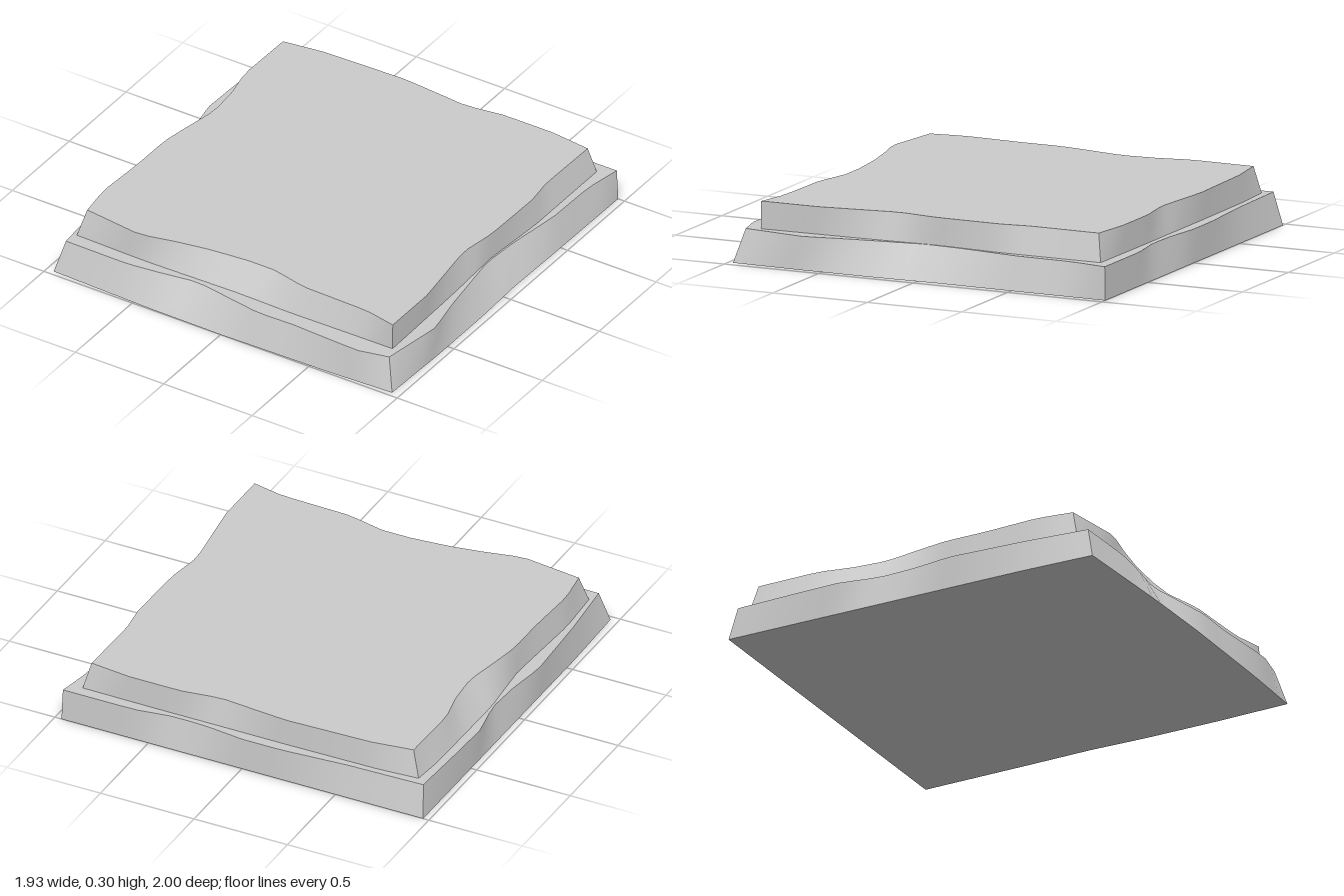
import * as THREE from 'three';
import { mergeGeometries } from 'three/addons/utils/BufferGeometryUtils.js';

const STEPS = 24; // samples per side

// Resample one side's polyline evenly along its main axis (0 = x, 1 = z).
function sampleSide(points, axis) {
  const start = points[0][axis], end = points[points.length - 1][axis];
  const result = [];
  for (let i = 0; i <= STEPS; i++) {
    const f = i / STEPS;
    let k = 0;
    while (k < points.length - 2 && (points[k + 1][axis] - start) / (end - start) < f) k++;
    const a = points[k], b = points[k + 1];
    const t = (start + (end - start) * f - a[axis]) / (b[axis] - a[axis]);
    result.push([a[0] + (b[0] - a[0]) * t, a[1] + (b[1] - a[1]) * t]);
  }
  return result;
}

// Sides run back, right, front, left; each continues to the next side's first point.
function sampleOutline(sides) {
  return sides.map((side, i) => sampleSide([...side, sides[(i + 1) % 4][0]], i % 2));
}

// Worn wall joining the foot and rim of one side, smooth along its length.
function wall(foot, rim, y0, y1) {
  const pos = [], index = [];
  for (let i = 0; i <= STEPS; i++) {
    pos.push(foot[i][0], y0, foot[i][1], rim[i][0], y1, rim[i][1]);
    if (i < STEPS) {
      const a = i * 2;
      index.push(a, a + 1, a + 2, a + 2, a + 1, a + 3);
    }
  }
  const g = new THREE.BufferGeometry();
  g.setAttribute('position', new THREE.Float32BufferAttribute(pos, 3));
  g.setIndex(index);
  g.computeVertexNormals();
  return g;
}

// Flat face filling an outline, facing up (dir = 1) or down (dir = -1).
function cap(outline, y, dir) {
  const pts = outline.flatMap(side => side.slice(0, -1)).map(([x, z]) => new THREE.Vector2(x, -z * dir));
  const g = new THREE.ShapeGeometry(new THREE.Shape(pts));
  g.rotateX(-dir * Math.PI / 2).translate(0, y, 0);
  g.deleteAttribute('uv');
  return g;
}

function slab(name, footSides, rimSides, y0, y1) {
  const foot = sampleOutline(footSides), rim = sampleOutline(rimSides);
  const parts = foot.map((side, i) => wall(side, rim[i], y0, y1));
  parts.push(cap(rim, y1, 1), cap(foot, y0, -1));
  const mesh = new THREE.Mesh(mergeGeometries(parts), new THREE.MeshStandardMaterial({ color: 0xcccccc }));
  mesh.name = name;
  return mesh;
}

export function createModel() {
  const group = new THREE.Group();
  group.name = 'steppedStonePlinth';

  // Broad lower slab
  group.add(slab('lowerSlab',
    [
      [[-0.97, -1]],
      [[0.965, -1], [0.96, -0.4], [0.955, -0.1], [0.965, 0.2], [0.965, 0.6]],
      [[0.955, 0.975], [0.6, 0.99], [0, 1], [-0.4, 0.995]],
      [[-0.96, 0.975], [-0.97, 0.6]],
    ],
    [
      [[-0.95, -0.96], [-0.55, -0.97], [-0.2, -0.995], [0, -0.995], [0.2, -0.97], [0.38, -0.965], [0.58, -0.995]],
      [[0.96, -0.995], [0.925, -0.8], [0.92, -0.5], [0.88, -0.22], [0.865, 0], [0.92, 0.4], [0.96, 0.6]],
      [[0.91, 0.93], [0.75, 0.965], [0.55, 0.955], [0.37, 0.945], [0.18, 0.95], [-0.2, 0.885], [-0.4, 0.915], [-0.57, 0.935]],
      [[-0.92, 0.93], [-0.95, 0.6], [-0.97, 0.2], [-0.94, 0], [-0.93, -0.2], [-0.97, -0.4], [-0.965, -0.6]],
    ], 0, 0.163));

  // Smaller upper slab
  group.add(slab('upperSlab',
    [
      [[-0.905, -0.92], [-0.7, -0.935], [-0.2, -0.94], [0.5, -0.94]],
      [[0.885, -0.937], [0.885, -0.4], [0.86, -0.05], [0.875, 0.3]],
      [[0.885, 0.862], [0.3, 0.868], [0, 0.862], [-0.5, 0.87]],
      [[-0.905, 0.86], [-0.92, 0.6], [-0.895, 0.13], [-0.925, -0.2], [-0.92, -0.75]],
    ],
    [
      [[-0.865, -0.895], [-0.65, -0.925], [-0.2, -0.938], [0, -0.92], [0.16, -0.905], [0.36, -0.935], [0.64, -0.935]],
      [[0.85, -0.91], [0.845, -0.55], [0.865, -0.4], [0.86, -0.05], [0.83, 0.15], [0.885, 0.56]],
      [[0.885, 0.86], [0.72, 0.825], [0.35, 0.815], [0.16, 0.77], [0, 0.77], [-0.2, 0.79], [-0.37, 0.82], [-0.55, 0.862]],
      [[-0.87, 0.82], [-0.895, 0.64], [-0.88, 0.35], [-0.88, 0.13], [-0.86, 0], [-0.82, -0.22], [-0.835, -0.4], [-0.87, -0.565]],
    ], 0.16, 0.298));

  return group;
}
